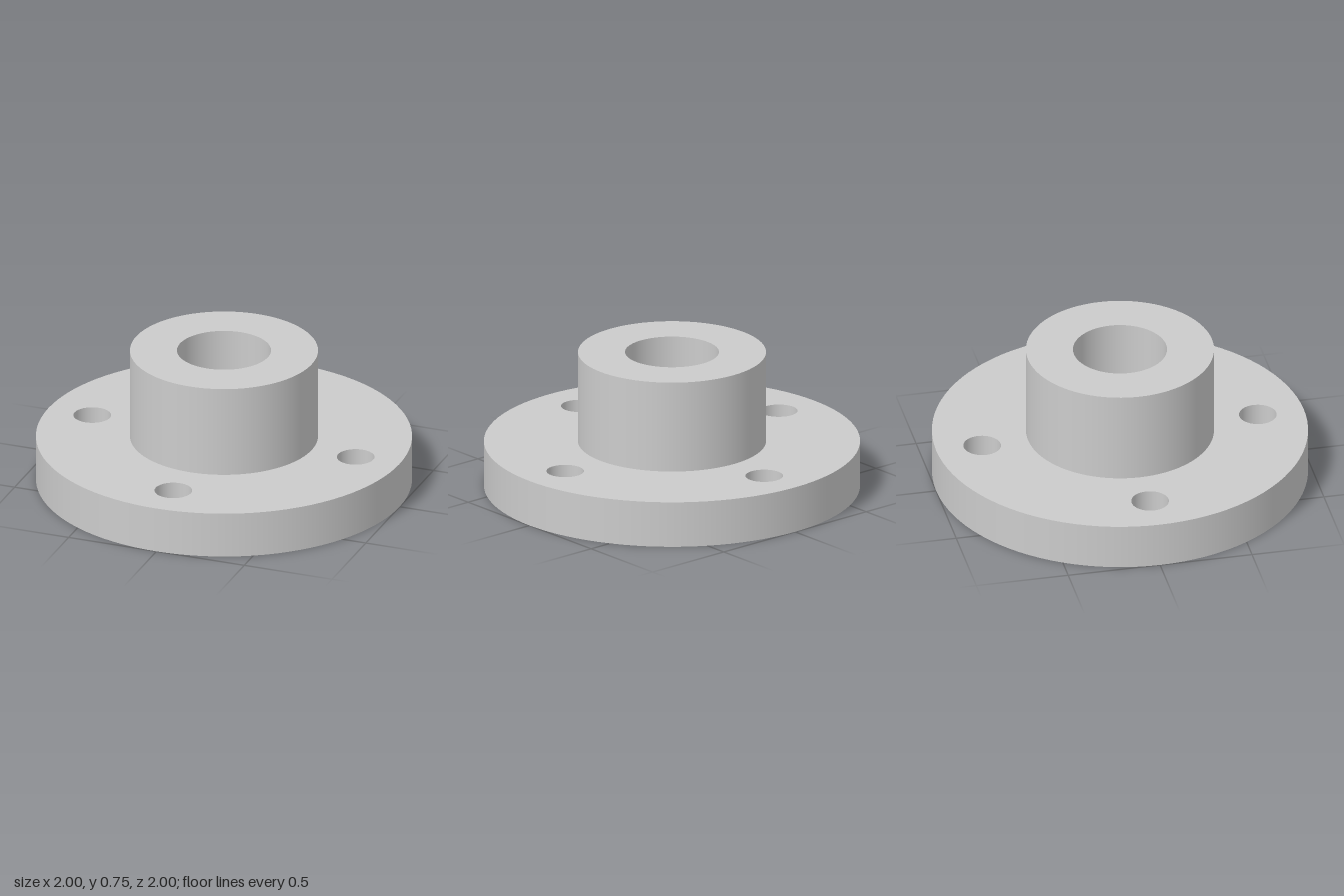
import * as THREE from 'three';

const SEGMENTS = 96;
const FLANGE_R = 1, HUB_R = 0.5, BORE_R = 0.25, BOLT_R = 0.1, BOLT_CIRCLE = 0.75;
const FLANGE_TOP = 0.25, HUB_TOP = 0.75;

export function createModel() {
  const group = new THREE.Group();
  const material = new THREE.MeshStandardMaterial({ color: 0xcccccc });

  const boltCentres = [0, 1, 2, 3].map((i) => {
    const a = (i * Math.PI) / 2;
    return [BOLT_CIRCLE * Math.cos(a), BOLT_CIRCLE * Math.sin(a)];
  });

  function add(name, geometry, x = 0, y = 0, z = 0) {
    const mesh = new THREE.Mesh(geometry, material);
    mesh.name = name;
    mesh.position.set(x, y, z);
    group.add(mesh);
  }

  // Round wall: faces outward when built upward, inward when built downward
  function wall(name, radius, from, to, x = 0, z = 0) {
    const profile = [new THREE.Vector2(radius, from), new THREE.Vector2(radius, to)];
    add(name, new THREE.LatheGeometry(profile, SEGMENTS), x, 0, z);
  }

  // Flat ring, optionally pierced by the bolt holes, facing up (1) or down (-1)
  function ring(name, outer, inner, y, facing, holes = []) {
    const shape = new THREE.Shape().absarc(0, 0, outer, 0, Math.PI * 2, false);
    for (const [x, z, r] of [[0, 0, inner], ...holes.map(([x, z]) => [x, z, BOLT_R])]) {
      shape.holes.push(new THREE.Path().absarc(x, z, r, 0, Math.PI * 2, true));
    }
    const geometry = new THREE.ShapeGeometry(shape, SEGMENTS / 2);
    geometry.rotateX((-facing * Math.PI) / 2);
    add(name, geometry, 0, y, 0);
  }

  // Flange disc
  ring('flangeBottom', FLANGE_R, BORE_R, 0, -1, boltCentres);
  wall('flangeRim', FLANGE_R, 0, FLANGE_TOP);
  ring('flangeTop', FLANGE_R, HUB_R, FLANGE_TOP, 1, boltCentres);

  // Raised hub
  wall('hubWall', HUB_R, FLANGE_TOP, HUB_TOP);
  ring('hubTop', HUB_R, BORE_R, HUB_TOP, 1);

  // Through bore and bolt holes
  wall('bore', BORE_R, HUB_TOP, 0);
  for (const [x, z] of boltCentres) wall('boltHole', BOLT_R, FLANGE_TOP, 0, x, z);

  return group;
}
